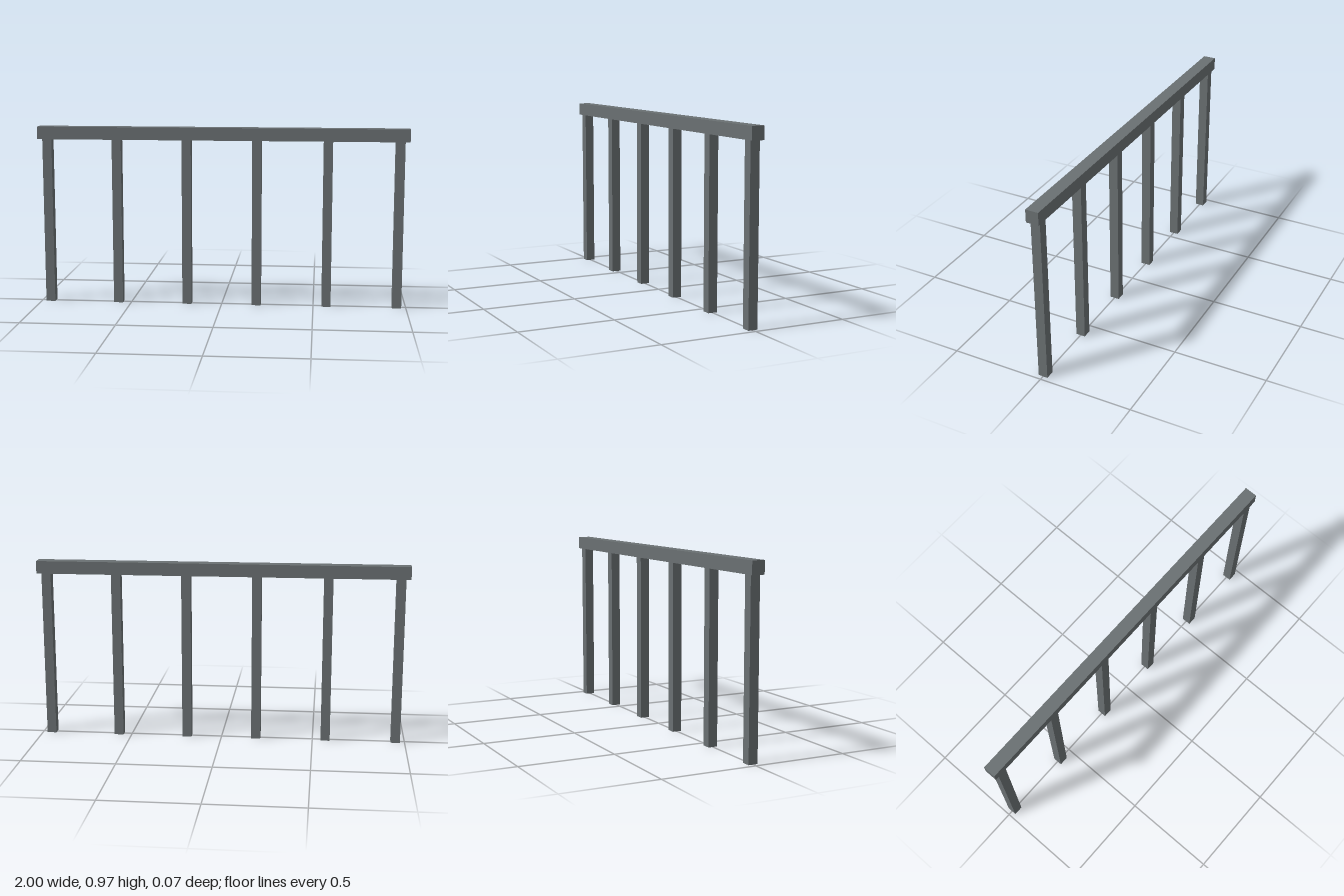
import * as THREE from 'three';

export function createModel() {
  const model = new THREE.Group();
  model.name = 'railing';
  const material = new THREE.MeshStandardMaterial({ color: 0x6a7072 });

  const postHeight = 0.9, postWidth = 0.05, postCount = 6, postSpan = 1.9;
  const railSize = 0.068;

  // Square top rail
  const rail = new THREE.Mesh(new THREE.BoxGeometry(2, railSize, railSize), material);
  rail.name = 'topRail';
  rail.position.y = postHeight + railSize / 2;
  model.add(rail);

  // Evenly spaced square posts
  const postGeometry = new THREE.BoxGeometry(postWidth, postHeight, postWidth);
  for (let i = 0; i < postCount; i++) {
    const post = new THREE.Mesh(postGeometry, material);
    post.name = `post${i + 1}`;
    post.position.set(postSpan * (i / (postCount - 1) - 0.5), postHeight / 2, 0);
    model.add(post);
  }

  return model;
}
